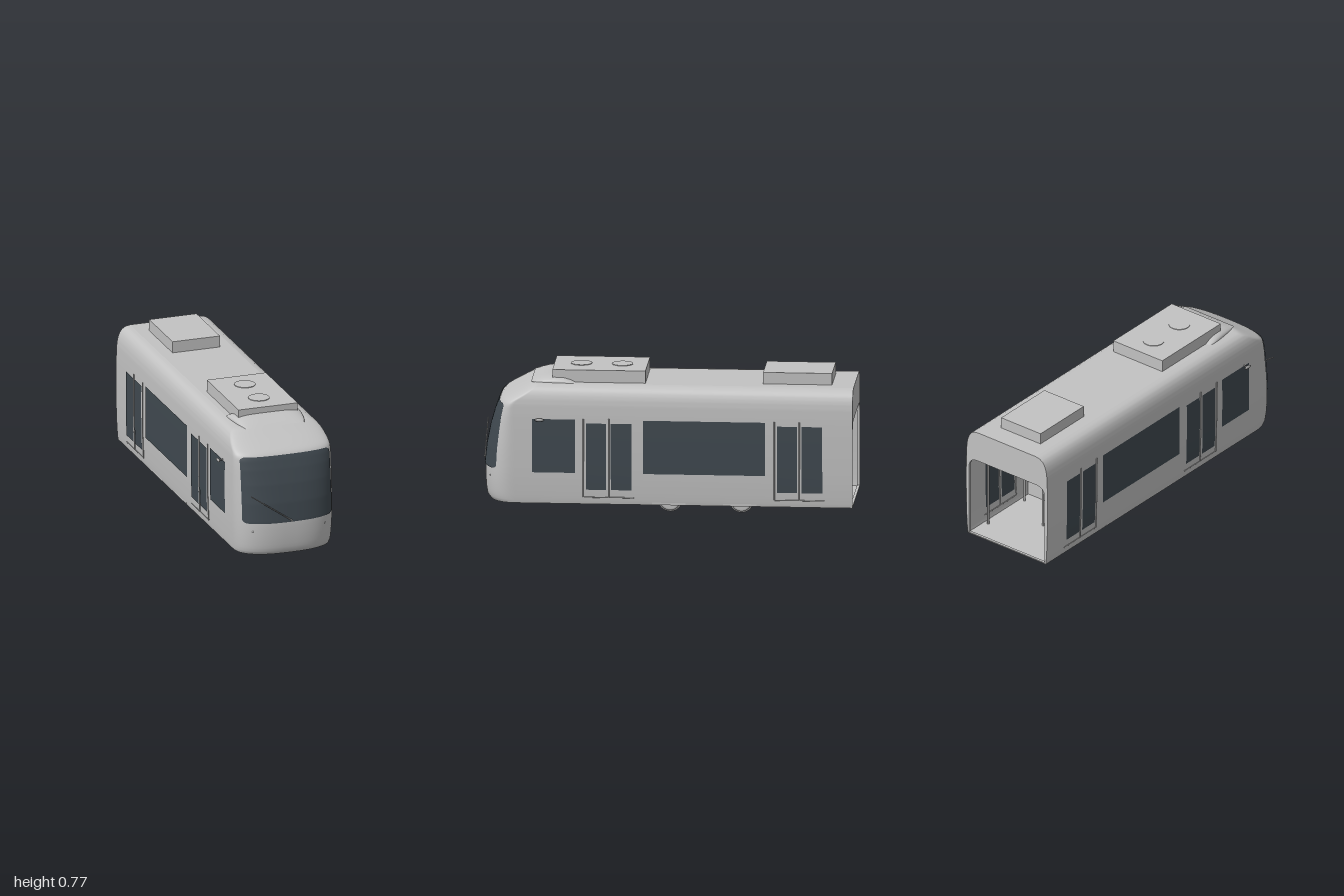
import * as THREE from 'three';
import { ParametricGeometry } from 'three/addons/geometries/ParametricGeometry.js';

const mat = (name, color) => {
  const m = new THREE.MeshStandardMaterial({ color, side: THREE.DoubleSide });
  m.name = name;
  return m;
};

// Body slices from sill to roof: [height, half width, nose z, depth of nose curve]
const ROWS = [
  [0.06, 0.268, 0.965, 0.17], [0.08, 0.271, 0.978, 0.17], [0.12, 0.274, 0.984, 0.17],
  [0.18, 0.277, 0.987, 0.17], [0.25, 0.279, 0.986, 0.17], [0.35, 0.28, 0.975, 0.16],
  [0.45, 0.28, 0.955, 0.14], [0.53, 0.279, 0.932, 0.11], [0.58, 0.277, 0.914, 0.09],
  [0.6, 0.276, 0.905, 0.085], [0.615, 0.274, 0.89, 0.08], [0.63, 0.272, 0.865, 0.075],
  [0.65, 0.267, 0.828, 0.07], [0.67, 0.259, 0.79, 0.06], [0.688, 0.246, 0.758, 0.055],
  [0.7, 0.226, 0.737, 0.05], [0.705, 0.2, 0.728, 0.05],
];
const POWER = 2.6;

function rowAt(y) {
  let i = 0;
  while (i < ROWS.length - 2 && y > ROWS[i + 1][0]) i++;
  const f = (y - ROWS[i][0]) / (ROWS[i + 1][0] - ROWS[i][0]);
  return ROWS[i].map((a, k) => a + (ROWS[i + 1][k] - a) * f);
}

// Plan outline at one height: straight sides and a rounded nose
const SLICES = 50;
function outline(y, u) {
  const [, w, front, depth] = rowAt(y);
  const k = u * SLICES;
  const back = k < 0.5 || k > SLICES - 0.5;
  const t = THREE.MathUtils.clamp((k - 1) / (SLICES - 2), 0, 1) * Math.PI;
  const c = Math.cos(t);
  const x = -w * Math.sign(c) * Math.abs(c) ** (2 / POWER);
  return [x, back ? -1 : front - depth + depth * Math.max(0, Math.sin(t)) ** (2 / POWER)];
}

function surface(fn, nu, nv) {
  const g = new ParametricGeometry(fn, nu, nv);
  g.computeVertexNormals();
  return g;
}

export function createModel() {
  const body = mat('body grey', 0xc2c2c2);
  const glass = mat('dark glass', 0x404950);
  const metal = mat('trim grey', 0xa8a8a8);
  const model = new THREE.Group();
  model.name = 'tram';

  const add = (name, geo, material, x = 0, y = 0, z = 0) => {
    const m = new THREE.Mesh(geo, material);
    m.name = name;
    m.position.set(x, y, z);
    model.add(m);
    return m;
  };
  const box = (name, material, x0, x1, y0, y1, z0, z1) => add(name,
    new THREE.BoxGeometry(x1 - x0, y1 - y0, z1 - z0), material,
    (x0 + x1) / 2, (y0 + y1) / 2, (z0 + z1) / 2);
  const rod = (name, a, b, r, material = metal) => {
    const p = new THREE.Vector3(...a), q = new THREE.Vector3(...b);
    const m = add(name, new THREE.CylinderGeometry(r, r, p.distanceTo(q), 10), material);
    m.position.copy(p).add(q).multiplyScalar(0.5);
    m.quaternion.setFromUnitVectors(new THREE.Vector3(0, 1, 0), q.sub(p).normalize());
    return m;
  };

  // Shell, roof and floor
  const n = ROWS.length - 1;
  add('bodyShell', surface((u, v, p) => {
    const i = Math.min(n - 1, Math.floor(v * n + 1e-6));
    const y = ROWS[i][0] + (ROWS[i + 1][0] - ROWS[i][0]) * (v * n - i);
    const [x, z] = outline(y, u);
    p.set(x, y, z);
  }, SLICES, n * 2), body);
  for (const [name, y] of [['roof', 0.705], ['floor', 0.06]]) {
    add(name, surface((u, v, p) => {
      const [x, z] = outline(y, u);
      p.set(x * (1 - v), y, z);
    }, SLICES, 1), body);
  }

  // Rear frame with the open gangway
  const frame = new THREE.Shape([
    ...ROWS.map(([y, w]) => new THREE.Vector2(w - 0.001, y)),
    ...[...ROWS].reverse().map(([y, w]) => new THREE.Vector2(0.001 - w, y)),
  ]);
  const gap = new THREE.Path();
  gap.moveTo(-0.26, 0.066).lineTo(0.26, 0.066).lineTo(0.26, 0.47);
  gap.quadraticCurveTo(0.26, 0.53, 0.2, 0.53).lineTo(-0.2, 0.53);
  gap.quadraticCurveTo(-0.26, 0.53, -0.26, 0.47).lineTo(-0.26, 0.066);
  frame.holes.push(gap);
  add('rearFrame', new THREE.ExtrudeGeometry(frame, { depth: 0.015, bevelEnabled: false }), body, 0, 0, -1);

  // Windscreen follows the nose, with rounded corners
  add('windscreen', surface((u, v, p) => {
    const y = 0.242 + 0.357 * v;
    const edge = Math.max(0, 0.02 - Math.min(y - 0.242, 0.599 - y)) / 0.02;
    const half = 0.235 + 0.02 * Math.sqrt(Math.max(0, 1 - edge * edge));
    const x = half * Math.sin((u - 0.5) * Math.PI);
    const [, w, front, depth] = rowAt(y);
    const curve = (1 - (Math.abs(x) / (w + 0.003)) ** POWER) ** (1 / POWER);
    p.set(x, y, front - depth + depth * curve + 0.004);
  }, 40, 48), glass);

  // Side glazing on both skins of the wall: [rear z, front z, bottom, top]
  const panes = [[0.49, 0.72, 0.232, 0.525], [-0.53, 0.125, 0.232, 0.525]];
  for (const z of [0.31, -0.715]) {
    panes.push([z + 0.013, z + 0.12, 0.14, 0.505], [z - 0.123, z - 0.012, 0.14, 0.505]);
  }
  for (const s of [-1, 1]) {
    for (const [z0, z1, y0, y1] of panes) {
      for (const off of [0.003, -0.003]) {
        add('sideWindow', surface((u, v, p) => {
          const y = y0 + (y1 - y0) * v;
          p.set(s * (rowAt(y)[1] + off), y, s > 0 ? z1 + (z0 - z1) * u : z0 + (z1 - z0) * u);
        }, 1, 12), glass);
      }
    }
    // Door edges, seals and sills
    for (const z of [0.31, -0.715]) {
      for (const dz of [0.135, 0]) {
        rod('doorSeal', [s * 0.274, 0.1, z + dz], [s * 0.28, 0.3, z + dz], 0.004);
        rod('doorSeal', [s * 0.28, 0.3, z + dz], [s * 0.28, 0.53, z + dz], 0.004);
      }
      rod('doorSill', [s * 0.272, 0.098, z - 0.135], [s * 0.272, 0.098, z + 0.135], 0.003);
    }
    // Mirrors and marker lamps
    rod('mirrorArm', [s * 0.27, 0.525, 0.68], [s * 0.306, 0.525, 0.68], 0.004);
    add('mirror', new THREE.SphereGeometry(1, 16, 12), metal, s * 0.306, 0.525, 0.68).scale.set(0.007, 0.009, 0.025);
    add('markerLamp', new THREE.SphereGeometry(0.006, 12, 8), metal, s * 0.205, 0.197, 0.948);
  }

  // Wiper
  rod('wiperArm', [0, 0.252, 0.994], [-0.23, 0.413, 0.994], 0.003);
  rod('wiperPivot', [0, 0.252, 0.98], [0, 0.252, 1], 0.005);

  // Roof equipment
  box('frontRoofUnit', body, -0.168, 0.168, 0.7, 0.772, 0.12, 0.62);
  box('rearRoofUnit', body, -0.135, 0.135, 0.7, 0.768, -0.88, -0.51);
  for (const z of [0.255, 0.475]) {
    add('roofFan', new THREE.CylinderGeometry(0.057, 0.057, 0.006, 32), body, 0, 0.772, z);
  }
  // Fairing sections: [z, half width, height]
  const fair = [[0.735, 0.165, 0], [0.7, 0.178, 0.018], [0.66, 0.187, 0.03], [0.61, 0.194, 0.038],
    [0.56, 0.199, 0.034], [0.52, 0.2, 0.02], [0.49, 0.194, 0]];
  add('roofFairing', surface((u, v, p) => {
    const [z, w, h] = fair[Math.round(v * (fair.length - 1))];
    const t = u * Math.PI, c = Math.cos(t);
    p.set(-w * Math.sign(c) * Math.abs(c) ** 0.5, 0.703 + h * Math.max(0, Math.sin(t)) ** 0.8, z);
  }, 24, fair.length - 1), body);

  // Bogie: flanged wheels, axles, brake discs and motors
  const wheelProfile = [[0.001, -0.012], [0.045, -0.012], [0.055, -0.01], [0.056, 0.004], [0.065, 0.006],
    [0.065, 0.011], [0.045, 0.013], [0.001, 0.013]].map(([r, y]) => new THREE.Vector2(r, y));
  for (const z of [-0.012, -0.395]) {
    rod('axle', [-0.16, 0.066, z], [0.16, 0.066, z], 0.012);
    for (const s of [-1, 1]) {
      add('wheel', new THREE.LatheGeometry(wheelProfile, 32), body, s * 0.16, 0.065, z).rotation.z = s * Math.PI / 2;
      rod('brakeDisc', [s * 0.096, 0.062, z], [s * 0.105, 0.062, z], 0.035, body);
      box('axleBox', metal, Math.min(s * 0.17, s * 0.193), Math.max(s * 0.17, s * 0.193), 0.05, 0.07, z - 0.025, z + 0.025);
      // Seat plinth above each wheel
      box('seatBase', body, s > 0 ? 0.09 : -0.27, s > 0 ? 0.27 : -0.09, 0.062, 0.19, z - 0.09, z + 0.09);
      box('seatBack', body, s > 0 ? 0.09 : -0.27, s > 0 ? 0.27 : -0.09, 0.19, 0.34, z - 0.01, z + 0.01);
    }
  }
  for (const z of [-0.11, -0.3]) rod('motor', [-0.09, 0.068, z], [0.062, 0.068, z], 0.028);

  // Cabin handrails
  for (const z of [-0.86, -0.55, 0.16, 0.46]) {
    for (const s of [-1, 1]) rod('grabPole', [s * 0.24, 0.06, z], [s * 0.24, 0.6, z], 0.006);
  }
  for (const z of [-0.69, 0.31]) rod('centrePole', [0, 0.06, z], [0, 0.705, z], 0.006);
  for (const s of [-1, 1]) rod('ceilingRail', [s * 0.24, 0.55, -0.86], [s * 0.24, 0.55, 0.46], 0.005);

  return model;
}
